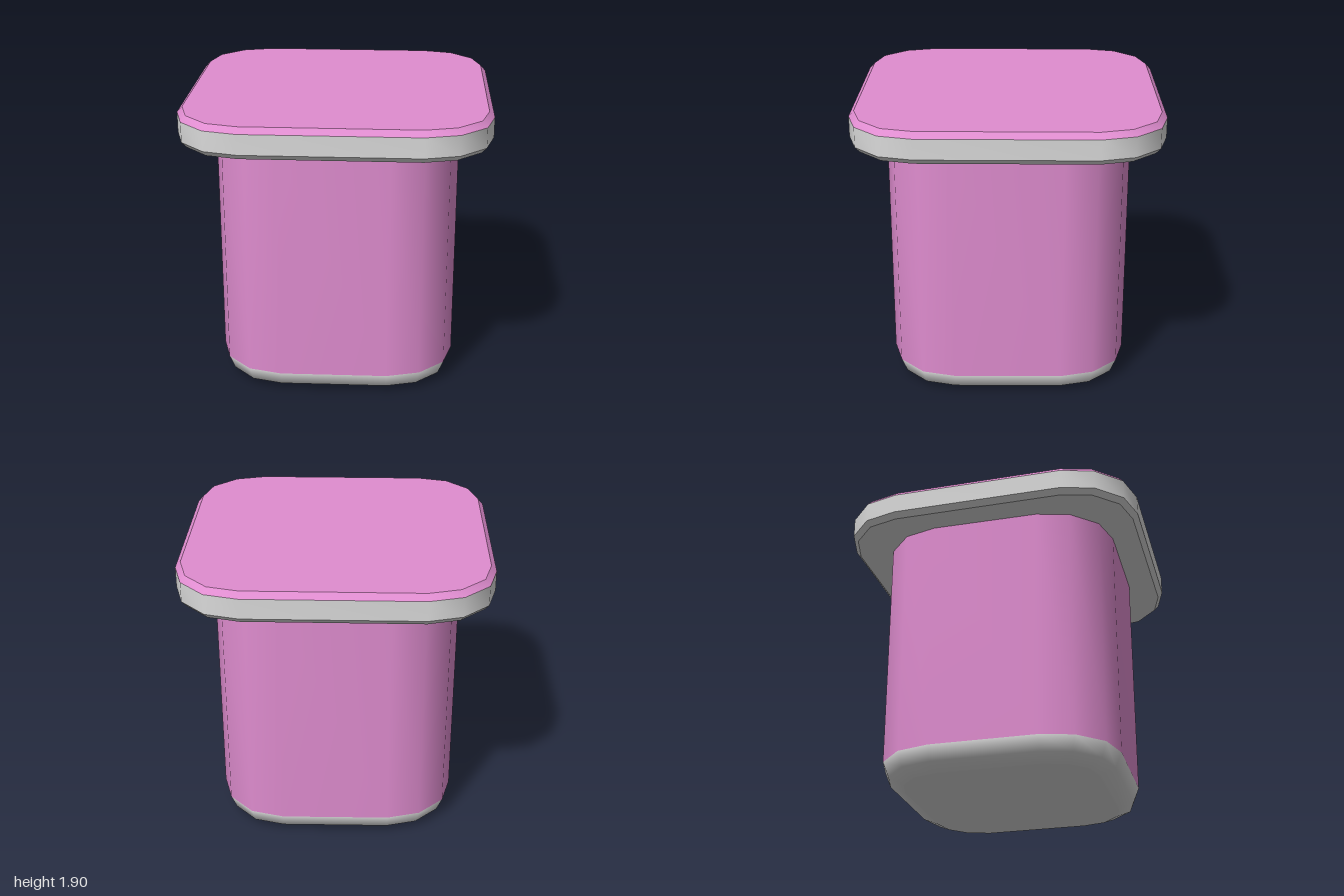
import * as THREE from 'three';

// One rounded corner as offsets of unit radius; repeated at four quarter turns
const CORNER = [[0, -1], [0.472, -0.884], [0.824, -0.53], [0.965, -0.06]];

// Rounded-square outline: corner centres at +-c, corner radius r
function outline(c, r) {
  const pts = [];
  for (let q = 0; q < 4; q++) {
    for (const [dx, dz] of CORNER) {
      let x = c + r * dx, z = -c + r * dz;
      for (let k = 0; k < q; k++) [x, z] = [-z, x];
      pts.push([x, z]);
    }
  }
  return pts;
}

// Smooth wall through rings [y, radius], listed bottom to top; one group per band
function wall(c, rings, bandMaterials = []) {
  const pos = [], index = [];
  const n = CORNER.length * 4;
  const geo = new THREE.BufferGeometry();
  for (const [y, r] of rings) for (const [x, z] of outline(c, r)) pos.push(x, y, z);
  for (let b = 0; b < rings.length - 1; b++) {
    geo.addGroup(index.length, n * 6, bandMaterials[b] ?? 0);
    for (let i = 0; i < n; i++) {
      const a = b * n + i, d = b * n + (i + 1) % n;
      index.push(a, a + n, d + n, a, d + n, d);
    }
  }
  geo.setAttribute('position', new THREE.Float32BufferAttribute(pos, 3));
  geo.setIndex(index);
  geo.computeVertexNormals();
  return geo;
}

// Flat horizontal cap facing up or down
function cap(c, r, y, up) {
  const shape = new THREE.Shape(outline(c, r).map(([x, z]) => new THREE.Vector2(x, up ? -z : z)));
  const geo = new THREE.ShapeGeometry(shape);
  geo.rotateX(up ? -Math.PI / 2 : Math.PI / 2);
  geo.translate(0, y, 0);
  return geo;
}

export function createModel() {
  const pink = new THREE.MeshStandardMaterial({ color: 0xe08dd0 });
  pink.name = 'pink';
  const grey = new THREE.MeshStandardMaterial({ color: 0xdadada });
  grey.name = 'light grey';

  const model = new THREE.Group();
  model.name = 'liddedContainer';
  const add = (name, geo, mat, parent) => {
    const mesh = new THREE.Mesh(geo, mat);
    mesh.name = name;
    parent.add(mesh);
  };

  // Body: pink wall blending smoothly into a rounded grey foot
  const body = new THREE.Group();
  body.name = 'body';
  const bc = 0.335;
  add('bodyWall', wall(bc, [[0, 0.31], [0.045, 0.415], [0.14, 0.455], [1.7, 0.455]], [1, 1, 0]), [pink, grey], body);
  add('bodyBottom', cap(bc, 0.31, 0, false), grey, body);

  // Lid: separate bands keep the bevel edges crisp
  const lid = new THREE.Group();
  lid.name = 'lid';
  const lc = 0.545;
  add('lidUnderside', cap(lc, 0.422, 1.695, false), grey, lid);
  add('lidLowerBevel', wall(lc, [[1.695, 0.422], [1.73, 0.455]]), grey, lid);
  add('lidRim', wall(lc, [[1.73, 0.455], [1.86, 0.455]]), grey, lid);
  add('lidUpperBevel', wall(lc, [[1.86, 0.455], [1.897, 0.42]]), pink, lid);
  add('lidTop', cap(lc, 0.42, 1.897, true), pink, lid);

  model.add(body, lid);
  return model;
}
